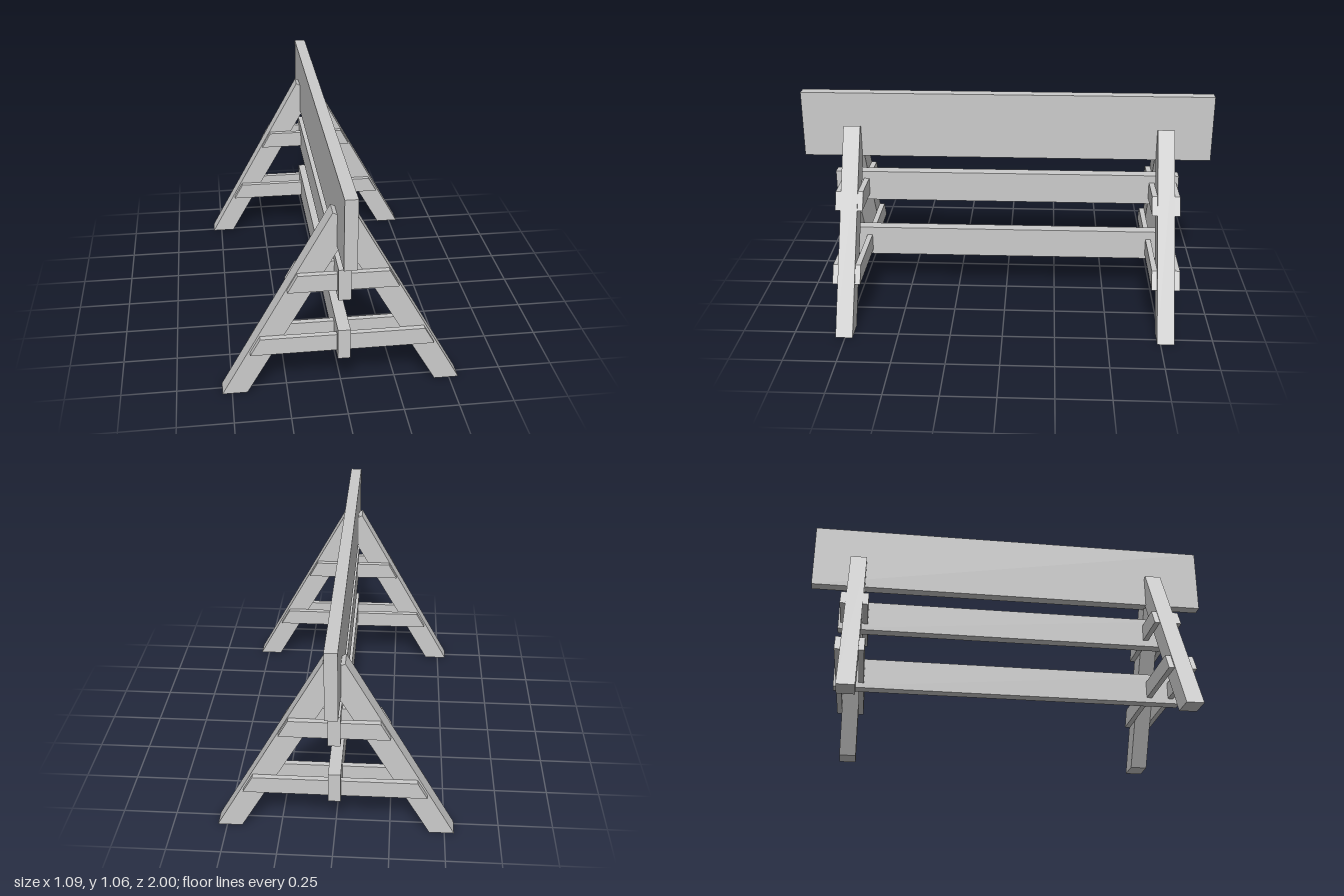
import * as THREE from 'three';

const material = new THREE.MeshStandardMaterial({ color: 0xcccccc, flatShading: true });

// Flat board: outline in x/y, extruded from z0 to z1
function board(name, points, z0, z1) {
  const shape = new THREE.Shape(points.map(([x, y]) => new THREE.Vector2(x, y)));
  const geometry = new THREE.ExtrudeGeometry(shape, { depth: z1 - z0, bevelEnabled: false });
  geometry.translate(0, 0, z0);
  const mesh = new THREE.Mesh(geometry, material);
  mesh.name = name;
  return mesh;
}

// Lengthwise beam centred on x = 0 and z = 0
function beam(name, y0, y1, length) {
  const mesh = new THREE.Mesh(new THREE.BoxGeometry(0.056, y1 - y0, length), material);
  mesh.position.y = (y0 + y1) / 2;
  mesh.name = name;
  return mesh;
}

// A-shaped trestle: two mitred legs clamped between paired cross braces
function trestle(name, z) {
  const group = new THREE.Group();
  group.name = name;
  const half = 0.041;
  const thickness = 0.026;

  const leg = [[0.544, 0], [0.047, 0.896], [0, 0.87], [0, 0.757], [0.431, 0]];
  const mirrored = leg.map(([x, y]) => [-x, y]).reverse();
  group.add(board('leftLeg', leg, -half, half), board('rightLeg', mirrored, -half, half));

  const braces = [
    ['upperBrace', 0.531, 0.613, 0.245, 0.2],
    ['lowerBrace', 0.218, 0.3, 0.414, 0.368],
  ];
  for (const [braceName, y0, y1, bottom, top] of braces) {
    const outline = [[-bottom, y0], [bottom, y0], [top, y1], [-top, y1]];
    group.add(
      board(braceName + 'Outer', outline, half, half + thickness),
      board(braceName + 'Inner', outline, -half - thickness, -half),
    );
  }
  group.position.z = z;
  return group;
}

export function createModel() {
  const model = new THREE.Group();
  model.name = 'trestleStand';
  model.add(
    beam('topBoard', 0.735, 1.058, 2),
    beam('upperRail', 0.499, 0.65, 1.706),
    beam('lowerRail', 0.193, 0.342, 1.706),
    trestle('frontTrestle', 0.755),
    trestle('backTrestle', -0.775),
  );
  return model;
}
